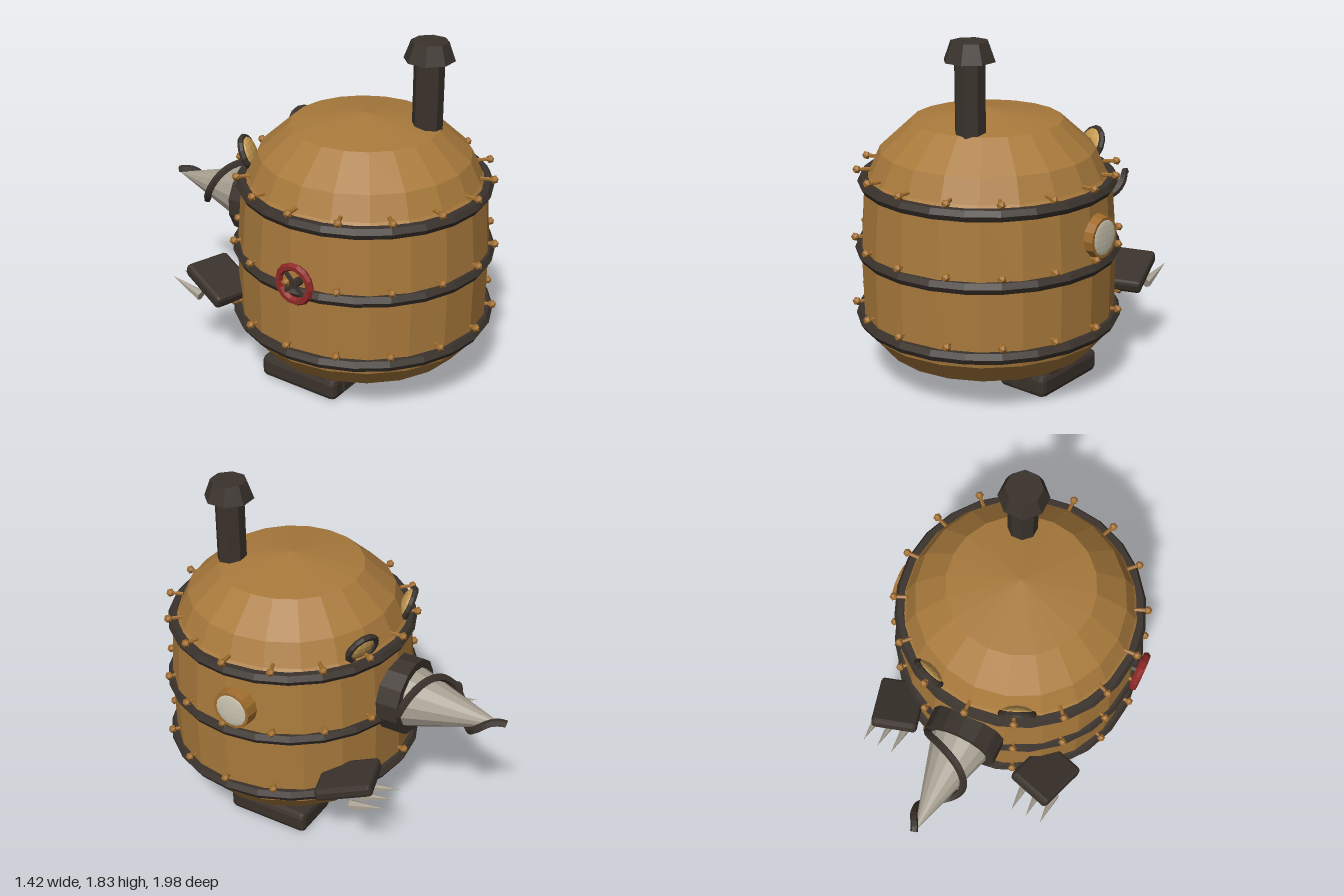
import * as THREE from 'three';
import { RoundedBoxGeometry } from 'three/addons/geometries/RoundedBoxGeometry.js';

const paint = (name, color) => Object.assign(new THREE.MeshStandardMaterial({ color, flatShading: true }), { name });

export function createModel() {
  const model = new THREE.Group();
  model.name = 'barrelDrillRobot';
  const brass = paint('brass', 0xa97a3c);
  const rivetBrass = paint('rivet brass', 0xa06c2c);
  const iron = paint('dark iron', 0x3a322c);
  const steel = paint('steel', 0xa8a092);
  const red = paint('valve red', 0x8e2826);
  const gold = paint('eye gold', 0xc59a52);
  const glass = paint('glass', 0xcac4b0);

  const add = (name, geometry, material, x = 0, y = 0, z = 0, parent = model) => {
    const mesh = new THREE.Mesh(geometry, material);
    mesh.name = name;
    mesh.position.set(x, y, z);
    parent.add(mesh);
    return mesh;
  };
  const group = (name, x, y, z) => {
    const g = new THREE.Group();
    g.name = name;
    g.position.set(x, y, z);
    model.add(g);
    return g;
  };
  const BZ = 0.28; // centre of the barrel

  // Barrel body
  const profile = [[0, 0.165], [0.55, 0.18], [0.645, 0.295], [0.657, 0.36], [0.662, 0.7], [0.635, 1.07],
    [0.605, 1.11], [0.55, 1.23], [0.385, 1.38], [0, 1.437]].map(([r, y]) => new THREE.Vector2(r, y));
  add('barrelBody', new THREE.LatheGeometry(profile, 20), brass, 0, 0, BZ);

  // Hoops, each with a row of sixteen rivets above it
  const rivet = new THREE.IcosahedronGeometry(0.023, 0);
  const stem = new THREE.CylinderGeometry(0.01, 0.01, 0.07, 6).rotateX(Math.PI / 2);
  for (const [y, r, rivetY, rivetR] of [[0.355, 0.66, 0.415, 0.69], [0.715, 0.655, 0.77, 0.685], [1.07, 0.632, 1.13, 0.665]]) {
    add('hoop', new THREE.TorusGeometry(r, 0.033, 6, 24).rotateX(Math.PI / 2), iron, 0, y, BZ);
    for (let i = 0; i < 16; i++) {
      const a = i * Math.PI / 8, s = Math.sin(a), c = Math.cos(a);
      add('rivet', rivet, rivetBrass, s * rivetR, rivetY, BZ + c * rivetR);
      add('rivetStem', stem, rivetBrass, s * (rivetR - 0.035), rivetY, BZ + c * (rivetR - 0.035)).rotation.y = a;
    }
  }

  // Chimney with flared cap
  const chimney = group('chimney', 0.13, 0, 0.565);
  add('chimneyPipe', new THREE.CylinderGeometry(0.078, 0.078, 0.42, 8).rotateY(Math.PI / 8), iron, 0, 1.55, 0, chimney);
  add('chimneyCap', new THREE.CylinderGeometry(0.095, 0.13, 0.095, 8).rotateY(Math.PI / 8), iron, 0, 1.785, 0, chimney);

  // Drill: collar, cone and spiral blade
  const drill = group('drill', 0, 0.78, 0);
  add('drillCollar', new THREE.CylinderGeometry(0.207, 0.207, 0.17, 14).rotateX(-Math.PI / 2), iron, 0, 0, -0.38, drill);
  add('drillCone', new THREE.ConeGeometry(0.165, 0.53, 14).rotateX(-Math.PI / 2), steel, 0, 0, -0.72, drill);
  class Spiral extends THREE.Curve {
    getPoint(t, target = new THREE.Vector3()) {
      const a = t * Math.PI * 2.5, r = 0.17 * (1 - t) + 0.018;
      return target.set(r * Math.cos(a), r * Math.sin(a), -0.465 - 0.52 * t);
    }
  }
  add('drillSpiral', new THREE.TubeGeometry(new Spiral(), 40, 0.021, 5), iron, 0, 0, 0, drill);

  // Paired legs, clawed hands and eyes
  const claw = new THREE.ConeGeometry(0.03, 0.2, 6).rotateX(-Math.PI / 2);
  for (const s of [-1, 1]) {
    add('leg', new THREE.CylinderGeometry(0.147, 0.147, 0.17, 8).rotateY(Math.PI / 8), iron, s * 0.32, 0.115, 0.29);
    add('foot', new RoundedBoxGeometry(0.29, 0.12, 0.47, 1, 0.028), iron, s * 0.32, 0.06, 0.18);

    const hand = add('hand', new RoundedBoxGeometry(0.255, 0.07, 0.31, 1, 0.02), iron, s * 0.453, 0.487, -0.325);
    hand.rotation.set(0.3, s * 0.29, 0, 'YXZ');
    for (const x of [0.37, 0.455, 0.54]) add('claw', claw, steel, s * x, 0.438, -0.49).rotation.x = 0.3;

    const eye = group('eye', s * 0.25, 1.165, -0.285);
    eye.rotation.set(-0.38, -s * 0.41, 0, 'YXZ');
    add('eyeRing', new THREE.TorusGeometry(0.083, 0.017, 6, 14), iron, 0, 0, 0, eye);
    add('eyeball', new THREE.SphereGeometry(0.08, 12, 8).scale(1, 1, 0.4), gold, 0, 0, 0.01, eye);
  }

  // Porthole on the left side
  const porthole = group('porthole', 0, 0.872, 0.22);
  add('portholeRim', new THREE.CylinderGeometry(0.105, 0.115, 0.09, 14).rotateZ(-Math.PI / 2), rivetBrass, 0.645, 0, 0, porthole);
  add('portholeGlass', new THREE.SphereGeometry(0.09, 14, 8).scale(0.11, 1, 1), glass, 0.689, 0, 0, porthole);

  // Valve wheel on the right side
  const valve = group('valveWheel', -0.693, 0.778, 0.337);
  add('valveRim', new THREE.TorusGeometry(0.092, 0.021, 6, 14).rotateY(Math.PI / 2), red, 0, 0, 0, valve);
  add('valveAxle', new THREE.CylinderGeometry(0.022, 0.022, 0.08, 8).rotateZ(Math.PI / 2), iron, 0.03, 0, 0, valve);
  for (const a of [Math.PI / 4, -Math.PI / 4]) {
    add('valveSpoke', new THREE.BoxGeometry(0.014, 0.18, 0.018), iron, 0, 0, 0, valve).rotation.x = a;
  }
  return model;
}
